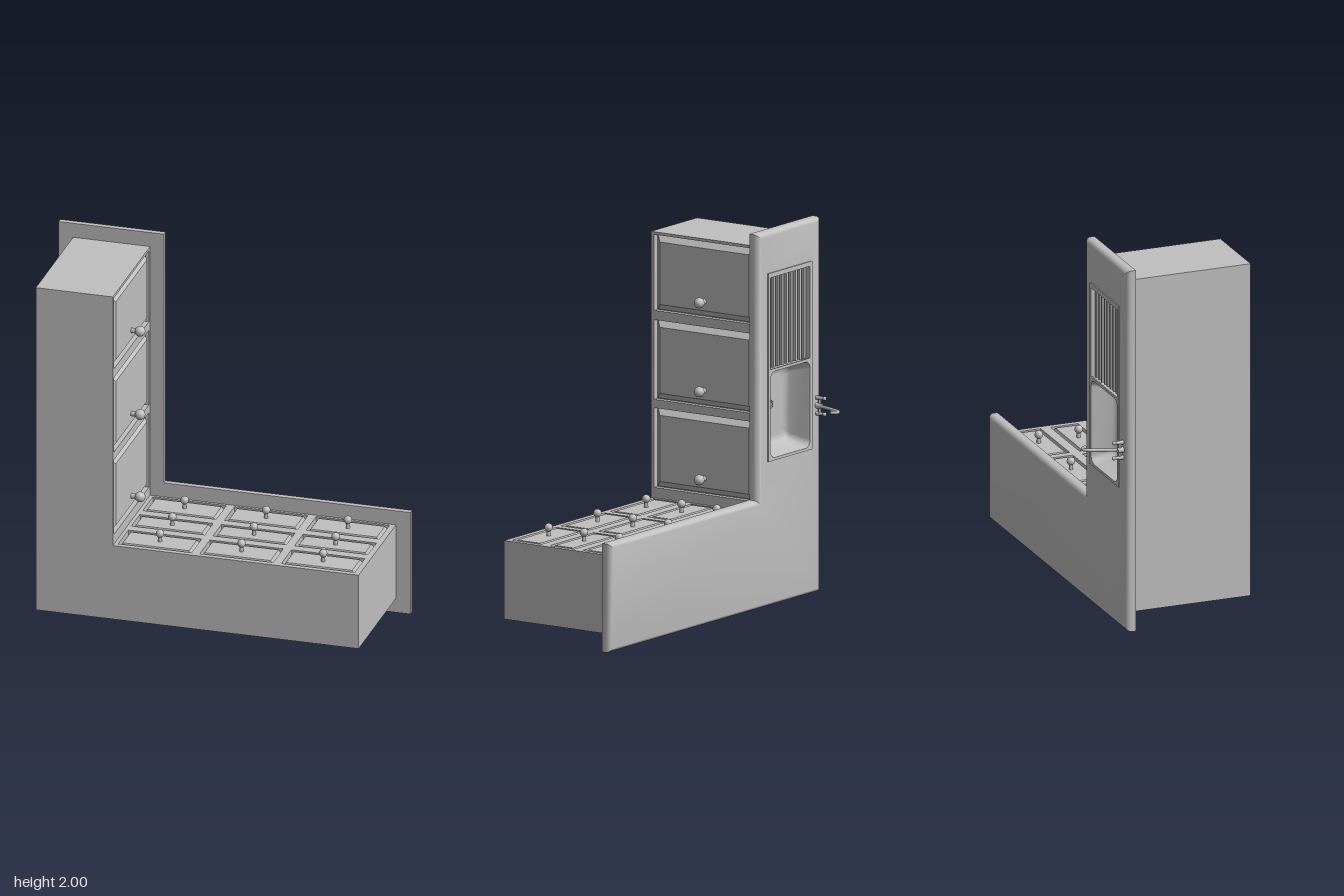
import * as THREE from 'three';
import { toCreasedNormals } from 'three/addons/utils/BufferGeometryUtils.js';

const grey = new THREE.MeshStandardMaterial({ color: 0xc0c0c0, side: THREE.DoubleSide });
grey.name = 'plain grey';

function add(parent, name, geometry, x = 0, y = 0, z = 0) {
  const mesh = new THREE.Mesh(geometry, grey);
  mesh.name = name;
  mesh.position.set(x, y, z);
  parent.add(mesh);
  return mesh;
}

function subgroup(parent, name) {
  const g = new THREE.Group();
  g.name = name;
  parent.add(g);
  return g;
}

const polygon = (pts) => new THREE.Shape(pts.map(([x, y]) => new THREE.Vector2(x, y)));
const rect = (x0, x1, y0, y1) => polygon([[x0, y0], [x1, y0], [x1, y1], [x0, y1]]);
const lShape = (x0, x1, xi, y0, y1, yi) =>
  polygon([[x0, y0], [x1, y0], [x1, yi], [xi, yi], [xi, y1], [x0, y1]]);

function roundedRect(x0, x1, y0, y1, r) {
  const s = new THREE.Shape();
  s.absarc(x1 - r, y0 + r, r, -Math.PI / 2, 0);
  s.absarc(x1 - r, y1 - r, r, 0, Math.PI / 2);
  s.absarc(x0 + r, y1 - r, r, Math.PI / 2, Math.PI);
  s.absarc(x0 + r, y0 + r, r, Math.PI, Math.PI * 1.5);
  return s;
}

function slab(shape, depth, holes = []) {
  shape.holes.push(...holes);
  return new THREE.ExtrudeGeometry(shape, { depth, bevelEnabled: false, curveSegments: 6 });
}

// Raised panel: a box whose outer face is drawn in by the bevel width
function raisedPanel(w, h, d, bevel) {
  const g = new THREE.BoxGeometry(w, h, d).toNonIndexed();
  const p = g.attributes.position;
  for (let i = 0; i < p.count; i++) {
    if (p.getZ(i) > 0) {
      p.setX(i, p.getX(i) - Math.sign(p.getX(i)) * bevel);
      p.setY(i, p.getY(i) - Math.sign(p.getY(i)) * bevel);
    }
  }
  g.computeVertexNormals();
  return g;
}

function knob(parent, x, y, z, r, reach) {
  const g = subgroup(parent, 'knob');
  g.position.set(x, y, z);
  add(g, 'knobStem', new THREE.CylinderGeometry(r * 0.45, r * 0.5, reach, 12), 0, 0, reach / 2)
    .rotation.x = Math.PI / 2;
  add(g, 'knobBall', new THREE.SphereGeometry(r, 20, 14), 0, 0, reach);
}

// Cabinet face: frame with openings, a bevelled panel and a knob in each
const GROOVE = 0.03;
function cabinetFace(parent, name, outline, openings, bevel, knobAt) {
  const g = subgroup(parent, name);
  add(g, name + 'Frame', slab(rect(...outline), GROOVE, openings.map((o) => rect(...o))));
  for (const [x0, x1, y0, y1] of openings) {
    const cx = (x0 + x1) / 2, cy = (y0 + y1) / 2;
    add(g, name + 'Panel',
      raisedPanel(x1 - x0 - 0.008, y1 - y0 - 0.008, GROOVE, bevel), cx, cy, GROOVE / 2);
    knobAt(g, cx, y0, cy);
  }
  return g;
}

// Worktop: only the outer (+z) edge is rounded, the opening stays straight
function worktopGeometry(hole) {
  const shape = lShape(0.385, -0.96, 0, 0, 2, 0.58);
  shape.curves.length = 0;
  const outline = polygon([[-0.96, 0], [0.96, 0], [0.96, 2], [0.385, 2], [0.385, 0.58], [-0.96, 0.58]]);
  outline.holes.push(rect(...hole));
  const r = 0.03;
  const g = new THREE.ExtrudeGeometry(outline, {
    depth: 0.025, bevelThickness: r, bevelSize: r, bevelOffset: -r, bevelSegments: 5,
  });
  const p = g.attributes.position;
  const [x0, x1, y0, y1] = hole;
  for (let i = 0; i < p.count; i++) {
    const x = p.getX(i), y = p.getY(i);
    p.setZ(i, Math.max(0, p.getZ(i)));
    if (x > x0 - 0.05 && x < x1 + 0.05 && y > y0 - 0.05 && y < y1 + 0.05) {
      p.setX(i, x < (x0 + x1) / 2 ? x0 : x1);
      p.setY(i, y < (y0 + y1) / 2 ? y0 : y1);
    }
  }
  return toCreasedNormals(g, 0.6);
}

// Basin wall: rounded rectangles joined from the rim down to the floor
const basinLoop = (inset) =>
  roundedRect(0.49 + inset, 0.85 - inset, 0.79 + inset, 1.25 - inset, 0.04);
function basinGeometry(levels) {
  const pos = [], index = [];
  let n = 0;
  levels.forEach(([inset, z], k) => {
    const pts = basinLoop(inset).getPoints(6);
    n = pts.length;
    pts.forEach((q) => pos.push(q.x, q.y, z));
    if (k === 0) return;
    for (let i = 0; i < n; i++) {
      const a = (k - 1) * n + i, b = (k - 1) * n + (i + 1) % n;
      index.push(a, a + n, b, b, a + n, b + n);
    }
  });
  const g = new THREE.BufferGeometry();
  g.setAttribute('position', new THREE.Float32BufferAttribute(pos, 3));
  g.setIndex(index);
  g.computeVertexNormals();
  return g;
}

export function createModel() {
  const model = new THREE.Group();
  model.name = 'cornerKitchenCounter';

  // Cabinet core, with a pocket for the basin behind the worktop
  const cabinet = subgroup(model, 'cabinet');
  const core = () => lShape(-0.88, 0.88, -0.49, 0.08, 1.92, 0.47);
  add(cabinet, 'cabinetCore', slab(core(), 0.57), 0, 0, -0.1);
  add(cabinet, 'cabinetTopPart', slab(core(), 0.11, [rect(-0.85, -0.498, 0.8, 1.24)]), 0, 0, -0.21);

  // Three doors facing +x (local x runs along -z)
  const doorRows = [[0.555, 0.98], [1.025, 1.45], [1.5, 1.905]];
  const doors = cabinetFace(model, 'door', [-0.47, 0.21, 0.47, 1.92],
    doorRows.map(([a, b]) => [-0.45, 0.188, a, b]), 0.032,
    (g, cx, y0) => knob(g, cx, y0 + 0.086, GROOVE, 0.028, 0.047));
  doors.rotation.y = Math.PI / 2;
  doors.position.x = -0.49;

  // Nine drawers facing +y (local y runs along -z)
  const openings = [];
  for (const [x0, x1] of [[-0.44, -0.04], [0.005, 0.405], [0.45, 0.85]])
    for (const [y0, y1] of [[-0.44, -0.255], [-0.2, -0.045], [0.01, 0.195]])
      openings.push([x0, x1, y0, y1]);
  const drawers = cabinetFace(model, 'drawer', [-0.46, 0.88, -0.47, 0.21], openings, 0.016,
    (g, cx, y0, cy) => knob(g, cx, cy, GROOVE, 0.022, 0.045));
  drawers.rotation.x = -Math.PI / 2;
  drawers.position.y = 0.47;

  // Worktop and sink, built facing +z and turned to face -z
  const top = subgroup(model, 'worktopAssembly');
  top.rotation.y = Math.PI;
  add(top, 'worktop', worktopGeometry([0.485, 0.855, 0.785, 1.755]), 0, 0, 0.21);

  const sink = subgroup(top, 'sink');
  add(sink, 'sinkRim',
    slab(rect(0.47, 0.87, 0.775, 1.78), 0.007, [basinLoop(0), rect(0.49, 0.85, 1.265, 1.755)]), 0, 0, 0.264);
  add(sink, 'basinWall', basinGeometry([
    [0, 0.268], [0.004, 0.255], [0.012, 0.21], [0.028, 0.16], [0.036, 0.145], [0.05, 0.136], [0.065, 0.134],
  ]));
  add(sink, 'basinFloor', new THREE.ShapeGeometry(basinLoop(0.065), 6), 0, 0, 0.134);
  const drain = add(sink, 'drain', new THREE.TorusGeometry(0.018, 0.005, 8, 20), 0.68, 1.03, 0.136);
  add(drain, 'drainPlug', new THREE.CircleGeometry(0.014, 16), 0, 0, 0.001);

  // Ribbed draining board
  add(sink, 'drainingBoard', new THREE.BoxGeometry(0.37, 0.5, 0.01), 0.67, 1.51, 0.22);
  for (let i = 0; i < 9; i++)
    add(sink, 'drainingRib', new THREE.BoxGeometry(0.018, 0.49, 0.03), 0.51 + i * 0.04, 1.51, 0.238);

  // Tap with hooked spout and two handles
  const tap = subgroup(top, 'tap');
  const spout = new THREE.CatmullRomCurve3([[0.918, 0.262], [0.905, 0.31], [0.88, 0.385], [0.86, 0.435],
    [0.843, 0.455], [0.824, 0.456], [0.81, 0.437]].map(([x, z]) => new THREE.Vector3(x, 1, z)));
  add(tap, 'spout', new THREE.TubeGeometry(spout, 40, 0.009, 10));
  add(tap, 'spoutTip', new THREE.SphereGeometry(0.009, 10, 8), 0.81, 1, 0.437);
  add(tap, 'spoutBase', new THREE.CylinderGeometry(0.014, 0.016, 0.035, 14), 0.918, 1, 0.28)
    .rotation.x = Math.PI / 2;
  add(tap, 'tapBridge', new THREE.CylinderGeometry(0.007, 0.007, 0.09, 10), 0.918, 1, 0.284);
  for (const side of [-1, 1]) {
    const y = 1 + side * 0.042;
    add(tap, 'handleStem', new THREE.CylinderGeometry(0.007, 0.012, 0.052, 12), 0.918, y, 0.289)
      .rotation.x = Math.PI / 2;
    add(tap, 'handleKnob', new THREE.SphereGeometry(0.011, 12, 8), 0.918, y, 0.316);
  }

  // Centre the depth on z = 0
  const box = new THREE.Box3().setFromObject(model);
  const shift = -(box.min.z + box.max.z) / 2;
  model.children.forEach((c) => { c.position.z += shift; });
  return model;
}
